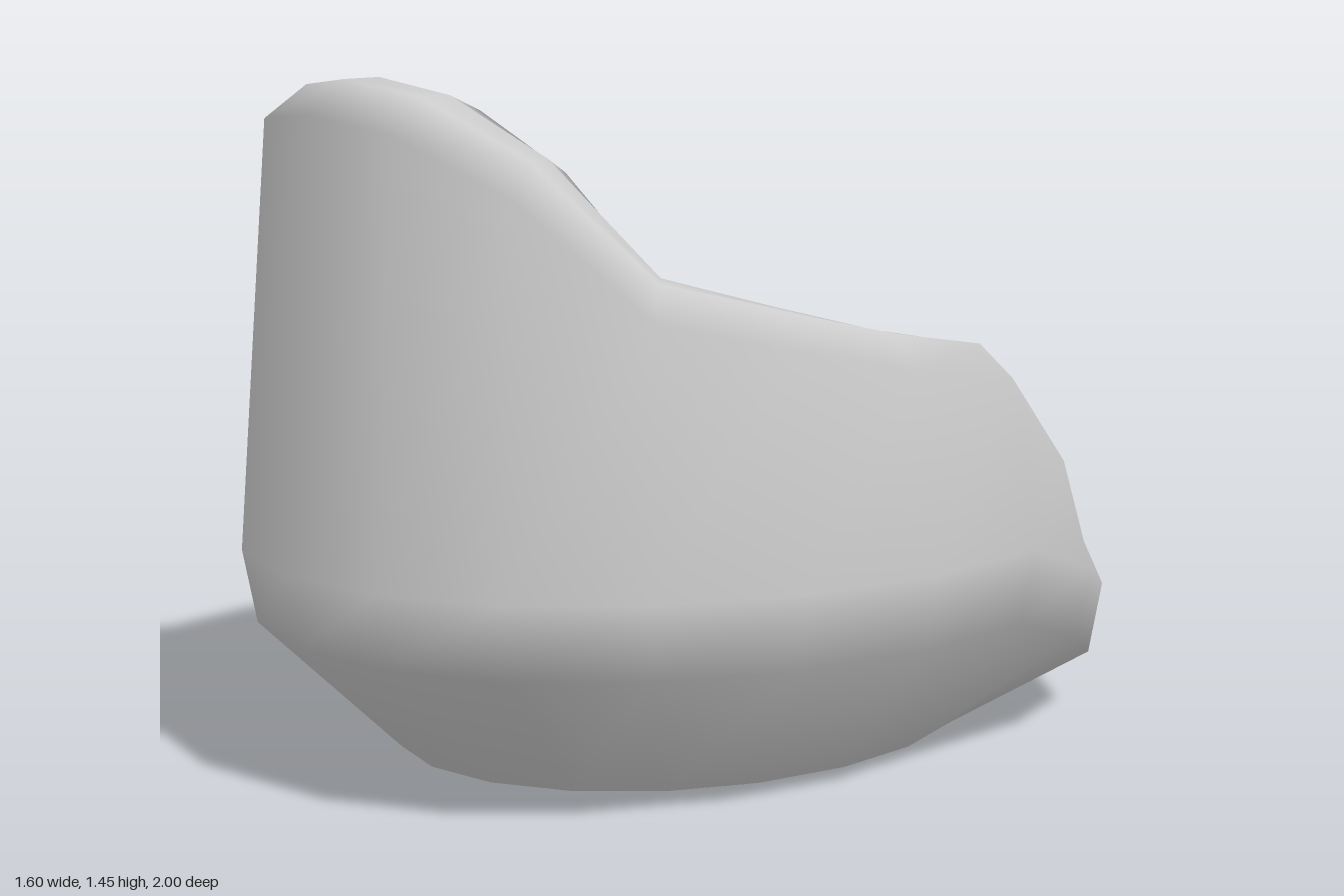
import * as THREE from 'three';

const SEGMENTS = 20;
const RX = 0.8, RZ = 1;

// Every 18 degrees from the tall end (+z) round to the low lip (-z)
const RIM = [1.45, 1.425, 1.31, 1.08, 1.015, 0.95, 0.9, 0.68, 0.495, 0.5, 0.5];
const DROP = [0, 0, 0, 0, 0, 0, 0, 0.1, 0.2, 0.205, 0.205];

// Cross-section at one station as [radius scale, height], outside to inside
function section(j) {
  const k = j <= 10 ? j : SEGMENTS - j;
  const rim = RIM[k], drop = DROP[k];
  return [
    // outer shell
    [0.55, 0], [0.66, 0.03], [0.97, 0.33 - drop], [1, 0.485 - drop],
    // rounded rim
    [0.93, rim - 0.065], [0.84, rim], [0.76, rim], [0.67, rim - 0.035],
    // inner wall, easing into a shallow bowl
    [0.57, Math.min(0.55, rim - 0.06)], [0.48, Math.min(0.46, rim - 0.08)], [0.28, 0.41],
  ];
}

function shellGeometry() {
  const stations = Array.from({ length: SEGMENTS }, (_, j) => section(j));
  const rings = stations[0].length;
  const pos = [], idx = [];
  for (let i = 0; i < rings; i++) {
    for (let j = 0; j < SEGMENTS; j++) {
      const a = (j / SEGMENTS) * Math.PI * 2;
      const [s, y] = stations[j][i];
      pos.push(RX * s * Math.sin(a), y, RZ * s * Math.cos(a));
    }
  }
  const base = rings * SEGMENTS, floor = base + 1;
  pos.push(0, 0, 0, 0, 0.4, 0);

  const at = (i, j) => i * SEGMENTS + (j % SEGMENTS);
  for (let j = 0; j < SEGMENTS; j++) {
    idx.push(base, at(0, j + 1), at(0, j)); // underside
    for (let i = 0; i < rings - 1; i++) {
      const a = at(i, j), b = at(i, j + 1), c = at(i + 1, j + 1), d = at(i + 1, j);
      idx.push(a, b, c, a, c, d);
    }
    idx.push(at(rings - 1, j), at(rings - 1, j + 1), floor); // bowl centre
  }
  const geo = new THREE.BufferGeometry();
  geo.setAttribute('position', new THREE.Float32BufferAttribute(pos, 3));
  geo.setIndex(idx);
  geo.computeVertexNormals();
  return geo;
}

export function createModel() {
  const group = new THREE.Group();
  group.name = 'tubChair';
  const shell = new THREE.Mesh(
    shellGeometry(),
    new THREE.MeshStandardMaterial({ color: 0xcccccc })
  );
  shell.name = 'seatShell';
  group.add(shell);
  return group;
}
